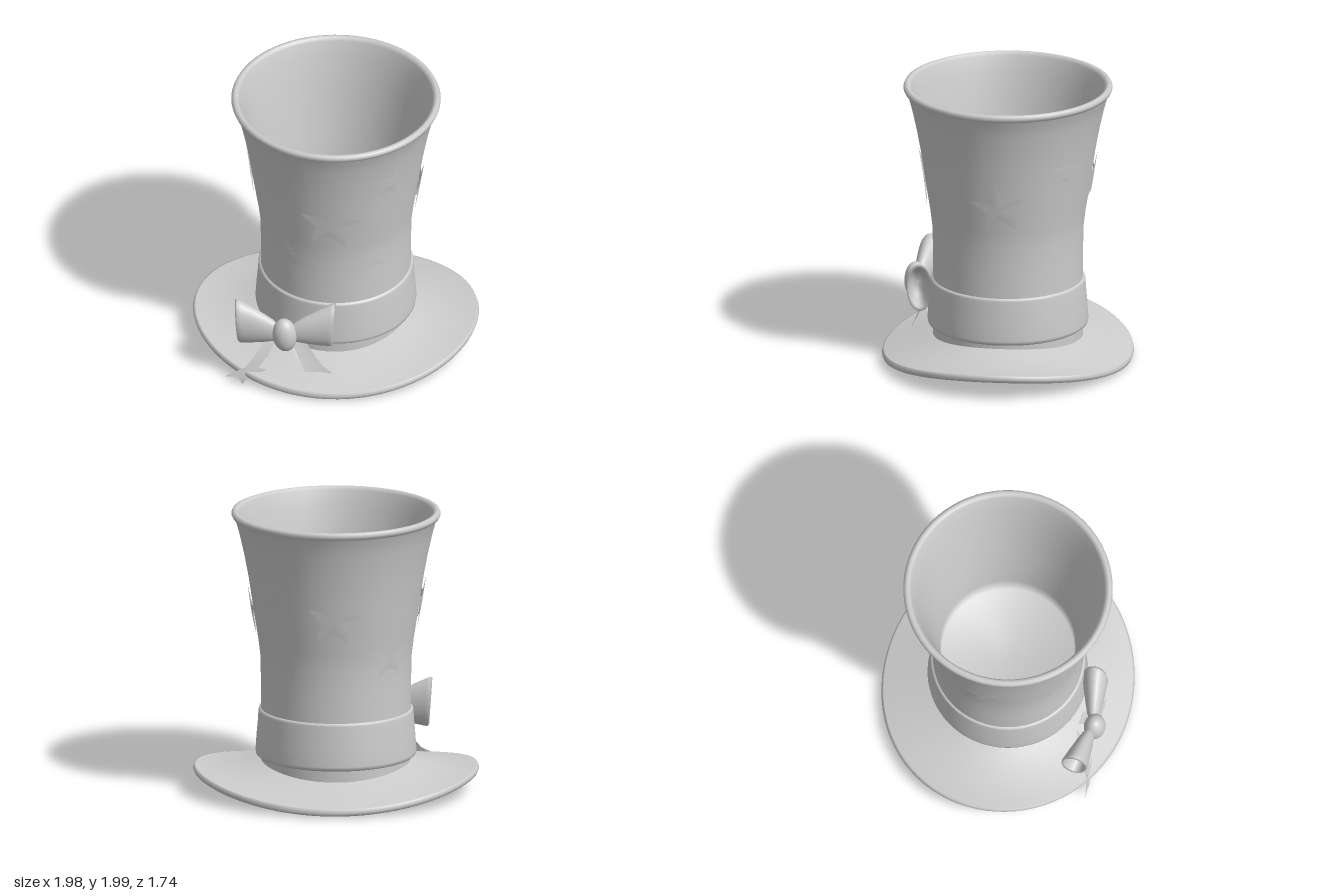
import * as THREE from 'three';
import { mergeVertices, toCreasedNormals } from 'three/addons/utils/BufferGeometryUtils.js';

const felt = new THREE.MeshStandardMaterial({ color: 0xcccccc, side: THREE.DoubleSide });
felt.name = 'grey felt';

const lathe = (pts, segments = 64) =>
  new THREE.LatheGeometry(pts.map(([r, y]) => new THREE.Vector2(r, y)), segments);

// Moves every vertex by a rule, then rebuilds seamless smooth normals
function reshape(geometry, rule) {
  geometry.deleteAttribute('uv');
  geometry.deleteAttribute('normal');
  const p = geometry.attributes.position;
  for (let i = 0; i < p.count; i++) p.setXYZ(i, ...rule(p.getX(i), p.getY(i), p.getZ(i)));
  const merged = mergeVertices(geometry, 1e-4);
  merged.computeVertexNormals();
  return merged;
}

// Outer wall of the crown, from the brim up to the rim
const wall = [[0.52, 0.14], [0.52, 0.6], [0.52, 0.8], [0.523, 0.96], [0.537, 1.08], [0.556, 1.2],
  [0.582, 1.37], [0.606, 1.53], [0.634, 1.68], [0.665, 1.82], [0.697, 1.94]];

function wallRadius(y) {
  for (let i = 1; i < wall.length; i++) {
    const [r0, y0] = wall[i - 1], [r1, y1] = wall[i];
    if (y <= y1) return r0 + (r1 - r0) * (y - y0) / (y1 - y0);
  }
  return wall[wall.length - 1][0];
}

// Five-pointed star that follows the crown, slightly raised in the middle
function starGeometry(azimuth, y, size, turn) {
  const verts = [], index = [];
  const add = (u, v, lift) => {
    const r = wallRadius(y + v) + lift;
    const a = azimuth + u / wallRadius(y);
    verts.push(r * Math.sin(a), y + v, r * Math.cos(a));
  };
  add(0, 0, 0.018);
  for (let i = 0; i < 10; i++) {
    const a = turn + i * Math.PI / 5, r = i % 2 ? size * 0.45 : size;
    add(-Math.sin(a) * r, Math.cos(a) * r, i % 2 ? 0.012 : 0.008 + size * 0.05);
    index.push(0, i + 1, (i + 1) % 10 + 1);
  }
  const g = new THREE.BufferGeometry();
  g.setAttribute('position', new THREE.Float32BufferAttribute(verts, 3));
  g.setIndex(index);
  g.computeVertexNormals();
  return g;
}

// Saddle-shaped oval brim; the lathe radius 0..1 runs from the hole to the edge
function brimGeometry() {
  const top = [], bottom = [];
  for (let i = 0; i <= 8; i++) {
    const s = 0.96 * i / 8;
    bottom.push([1 + s, -0.05]);
    top.unshift([1 + s, 0]);
  }
  const edge = [[1.985, -0.042], [2, -0.022], [1.985, 0.0]];
  return reshape(lathe([...bottom, ...edge, ...top], 80), (x, y, z) => {
    const r = Math.hypot(x, z), s = r - 1, sn = x / r, cs = z / r, c = sn * sn;
    const inner = 0.19 + 0.05 * c, outer = 0.065 + 0.125 * c;
    const height = inner + (outer - inner) * s - 0.1 * c * s * (1 - s);
    return [sn * (0.49 + 0.5 * s), height + y, cs * (0.49 + 0.38 * s)];
  });
}

// Hollow flared bow loop, widening along +x from the knot
function loopGeometry() {
  const profile = [[0.04, 0.03], [0.085, 0.08], [0.115, 0.15], [0.145, 0.23], [0.168, 0.3],
    [0.175, 0.325], [0.165, 0.338], [0.148, 0.325], [0.125, 0.22], [0.08, 0.12], [0, 0.07]];
  return reshape(lathe(profile, 32), (x, y, z) => [
    y + x * y * 0.2,
    x + y * 0.17,
    z * 0.52 - y * 0.17,
  ]);
}

// Ribbon tail cut from a flat outline that swings forward as it hangs down
function tailGeometry(outline) {
  const shape = new THREE.Shape(outline.map(([x, y]) => new THREE.Vector2(x, y)));
  return reshape(new THREE.ShapeGeometry(shape),
    (x, y) => [x, y, 0.71 - 0.13 * Math.pow(Math.max(0, (y - 0.06) / 0.3), 1.4)]);
}

export function createModel() {
  const hat = new THREE.Group();
  hat.name = 'topHat';
  const add = (name, geometry, parent = hat) => {
    const mesh = new THREE.Mesh(geometry, felt);
    mesh.name = name;
    parent.add(mesh);
    return mesh;
  };

  // Crown: outer wall, rolled rim, inner wall and floor
  add('crown', lathe([...wall, [0.717, 1.955], [0.725, 1.975], [0.717, 1.993], [0.7, 2],
    [0.683, 1.995], [0.67, 1.975], [0.64, 1.87], [0.6, 1.7], [0.56, 1.48], [0.52, 1.25],
    [0.485, 1.02], [0.47, 0.85], [0.46, 0.7], [0, 0.68]], 72));
  add('headOpening', toCreasedNormals(lathe([[0, 0.66], [0.49, 0.66], [0.49, 0.14]], 64), 0.6));
  add('brim', brimGeometry());

  // Hat band with softly rounded edges
  add('band', lathe([[0.51, 0.262], [0.54, 0.264], [0.554, 0.275], [0.557, 0.295], [0.55, 0.4],
    [0.541, 0.5], [0.536, 0.58], [0.531, 0.594], [0.515, 0.6]], 72));

  // Stars: azimuth in degrees, height, size, turn
  const stars = [
    [0, 1.3, 0.215, -0.1], [90, 1.27, 0.19, 0.1], [180, 1.34, 0.19, -0.1], [270, 1.35, 0.19, 0.1],
    [225, 1.05, 0.18, 0], [-40, 1.56, 0.12, 0.2], [42, 1.61, 0.125, -0.25],
    [-35, 0.97, 0.12, 0.15], [36, 0.95, 0.115, -0.1], [138, 1.5, 0.125, -0.15],
  ];
  for (const [deg, y, size, turn] of stars)
    add('star', starGeometry(THREE.MathUtils.degToRad(deg), y, size, turn));

  // Bow: two mirrored loops, a knot and two tails
  const bow = new THREE.Group();
  bow.name = 'bow';
  hat.add(bow);
  for (const side of [1, -1]) {
    const loop = add(side > 0 ? 'leftLoop' : 'rightLoop', loopGeometry(), bow);
    loop.position.set(-0.307, 0.43, 0.67);
    loop.scale.x = side;
  }
  const knot = add('knot', new THREE.SphereGeometry(1, 28, 20), bow);
  knot.scale.set(0.085, 0.13, 0.075);
  knot.position.set(-0.308, 0.43, 0.685);
  knot.rotation.z = 0.08;
  add('rightTail', tailGeometry([[-0.33, 0.38], [-0.42, 0.36], [-0.48, 0.27], [-0.53, 0.2],
    [-0.58, 0.14], [-0.72, 0.07], [-0.63, 0.07], [-0.6, 0.01], [-0.56, 0.07], [-0.43, 0.13],
    [-0.49, 0.14], [-0.43, 0.22], [-0.39, 0.29]]), bow);
  add('leftTail', tailGeometry([[-0.3, 0.38], [-0.26, 0.3], [-0.22, 0.2], [-0.165, 0.125],
    [-0.08, 0.13], [0.03, 0.12], [-0.04, 0.17], [-0.1, 0.23], [-0.16, 0.31], [-0.2, 0.37]]), bow);

  return hat;
}
